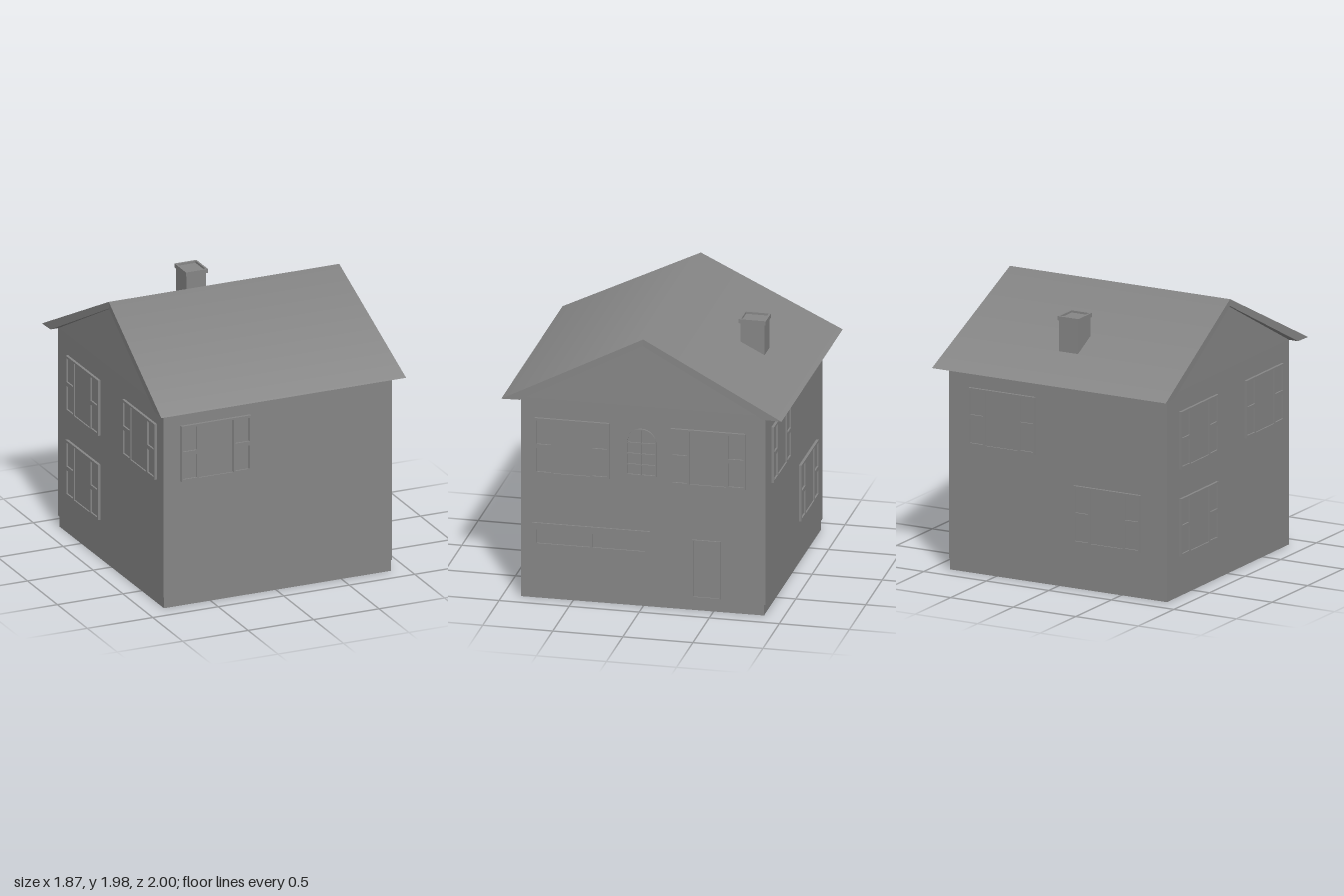
import * as THREE from 'three';

const mat = new THREE.MeshStandardMaterial({ color: 0x868686, flatShading: true, side: THREE.DoubleSide });
const smoothMat = new THREE.MeshStandardMaterial({ color: 0x868686, side: THREE.DoubleSide });

function add(parent, name, geometry, x = 0, y = 0, z = 0, material = mat) {
  const mesh = new THREE.Mesh(geometry, material);
  mesh.name = name;
  mesh.position.set(x, y, z);
  parent.add(mesh);
}

// Rectangle path from its edges
function rect(x0, y0, x1, y1, Type = THREE.Path) {
  const p = new Type();
  p.moveTo(x0, y0).lineTo(x1, y0).lineTo(x1, y1).lineTo(x0, y1).closePath();
  return p;
}

function plate(outline, holes, depth) {
  outline.holes.push(...holes);
  return new THREE.ExtrudeGeometry(outline, { depth, bevelEnabled: false, curveSegments: 12 });
}

// Plinth and walls: slightly skewed rings joined upward, then two gables; open below
function wallGeometry() {
  const base = [[-0.855, 0.87], [0.88, 0.87], [0.868, -0.86], [-0.865, -0.86]];
  const wall = [[-0.857, 0.87], [0.885, 0.87], [0.872, -0.87], [-0.872, -0.87]];
  const rings = [[0, base], [0.08, base], [0.08, wall], [1.48, wall]];
  const pos = [], idx = [];
  for (const [y, corners] of rings) for (const [x, z] of corners) pos.push(x, y, z);
  for (let r = 0; r < rings.length - 1; r++) {
    for (let i = 0; i < 4; i++) {
      const a = r * 4 + i, b = r * 4 + (i + 1) % 4;
      idx.push(a, b, b + 4, a, b + 4, a + 4);
    }
  }
  pos.push(0.867, 1.93, 0, -0.862, 1.93, 0);
  idx.push(13, 14, 16, 15, 12, 17);
  const g = new THREE.BufferGeometry();
  g.setAttribute('position', new THREE.Float32BufferAttribute(pos, 3));
  g.setIndex(idx);
  const flat = g.toNonIndexed();
  flat.computeVertexNormals();
  return flat;
}

// Roof: chevron section, its ends flaring towards the eaves, shaded smoothly over the ridge
function roofGeometry() {
  const section = [[1, 1.475], [0, 1.98], [-1, 1.475], [-0.87, 1.475], [0, 1.93], [0.87, 1.475]];
  const shape = new THREE.Shape(section.map(([z, y]) => new THREE.Vector2(-z, y)));
  const g = new THREE.ExtrudeGeometry(shape, { depth: 2, bevelEnabled: false });
  g.translate(0, 0, -1).rotateY(Math.PI / 2);
  const p = g.attributes.position;
  for (let i = 0; i < p.count; i++) p.setX(i, p.getX(i) * (0.88 + 0.055 * Math.abs(p.getZ(i))));
  g.computeVertexNormals();
  const n = g.attributes.normal;
  for (let i = 0; i < p.count; i++) {
    if (p.getY(i) > 1.97 && n.getY(i) > 0.5) n.setXYZ(i, 0, 1, 0);
  }
  return g;
}

// Window with a central pane and a two-panel shutter on each side
function shutteredWindow() {
  const g = new THREE.Group();
  g.name = 'shutteredWindow';
  const holes = [rect(-0.13, -0.195, 0.13, 0.195)];
  for (const x of [-0.253, 0.147]) {
    holes.push(rect(x, -0.19, x + 0.106, -0.015), rect(x, 0.015, x + 0.106, 0.19));
  }
  add(g, 'frame', plate(rect(-0.265, -0.207, 0.265, 0.207, THREE.Shape), holes, 0.019), 0, 0, 0.001);
  add(g, 'shutterPanels', new THREE.BoxGeometry(0.525, 0.41, 0.006), 0, 0, 0.005);
  add(g, 'pane', new THREE.BoxGeometry(0.262, 0.392, 0.02));
  return g;
}

function archPath(r, y0, yc, Type) {
  const p = new Type();
  p.moveTo(-r, y0).lineTo(r, y0).lineTo(r, yc).absarc(0, yc, r, 0, Math.PI, false).closePath();
  return p;
}

// Round-topped window with glazing bars
function archedWindow() {
  const g = new THREE.Group();
  g.name = 'archedWindow';
  add(g, 'frame', plate(archPath(0.107, 0, 0.24, THREE.Shape), [archPath(0.099, 0.008, 0.24, THREE.Path)], 0.014), 0, 0, 0.001);
  add(g, 'pane', plate(archPath(0.102, 0.004, 0.24, THREE.Shape), [], 0.002), 0, 0, 0.001);
  add(g, 'upright', new THREE.BoxGeometry(0.008, 0.336, 0.013), 0, 0.172, 0.0075);
  for (const y of [0.08, 0.16, 0.24]) add(g, 'crossbar', new THREE.BoxGeometry(0.2, 0.008, 0.012), 0, y, 0.0075);
  return g;
}

// Garage door with a row of two lights along the top
function garageDoor() {
  const g = new THREE.Group();
  g.name = 'garageDoor';
  const holes = [rect(-0.39, 0.33, -0.01, 0.43), rect(0.01, 0.33, 0.385, 0.43)];
  add(g, 'leaf', plate(rect(-0.42, 0, 0.42, 0.48, THREE.Shape), holes, 0.013), 0, 0, 0.001);
  add(g, 'lights', new THREE.BoxGeometry(0.8, 0.12, 0.002), 0, 0.38, 0.002);
  return g;
}

function entranceDoor() {
  const g = new THREE.Group();
  g.name = 'entranceDoor';
  add(g, 'frame', plate(rect(-0.1, 0, 0.1, 0.43, THREE.Shape), [rect(-0.092, 0.008, 0.092, 0.422)], 0.012), 0, 0, 0.001);
  add(g, 'panel', new THREE.BoxGeometry(0.195, 0.425, 0.002), 0, 0.215, 0.002);
  return g;
}

// Square tube standing upright
function squareTube(half, inner, height) {
  return plate(rect(-half, -half * 1.15, half, half * 1.15, THREE.Shape),
    [rect(-inner, -inner * 1.15, inner, inner * 1.15)], height).rotateX(-Math.PI / 2);
}

export function createModel() {
  const house = new THREE.Group();
  house.name = 'house';
  add(house, 'walls', wallGeometry());
  add(house, 'roof', roofGeometry(), 0, 0, 0, smoothMat);

  // Chimney
  const chimney = new THREE.Group();
  chimney.name = 'chimney';
  add(chimney, 'shaft', new THREE.BoxGeometry(0.15, 0.245, 0.1725), 0, 1.7525, 0);
  add(chimney, 'cap', squareTube(0.084, 0.07, 0.03), 0, 1.86, 0);
  chimney.position.set(0.022, 0, -0.597);
  house.add(chimney);

  // Openings, placed by side: turn and position from the position along the wall
  const sides = {
    front: [0, u => [u, 0.87]],
    right: [Math.PI / 2 + 0.0075, u => [0.8785 + 0.0075 * u, u]],
    back: [Math.PI, u => [u, -0.873]],
    left: [-Math.PI / 2 + 0.0086, u => [-0.8645 + 0.0086 * u, u]],
  };
  const place = (part, side, u, y) => {
    const [turn, at] = sides[side];
    const [x, z] = at(u);
    part.position.set(x, y, z);
    part.rotation.y = turn;
    house.add(part);
  };
  const windows = [
    ['front', -0.465, 1.133],
    ['right', 0.505, 1.133], ['right', -0.465, 1.133],
    ['back', 0.44, 1.133], ['back', -0.4, 0.54],
    ['left', -0.435, 1.128], ['left', -0.435, 0.5], ['left', 0.495, 1.128],
  ];
  for (const w of windows) place(shutteredWindow(), ...w);
  place(archedWindow(), 'right', 0.012, 0.97);
  place(garageDoor(), 'right', 0.37, 0.08);
  place(entranceDoor(), 'right', -0.45, 0.095);
  return house;
}
